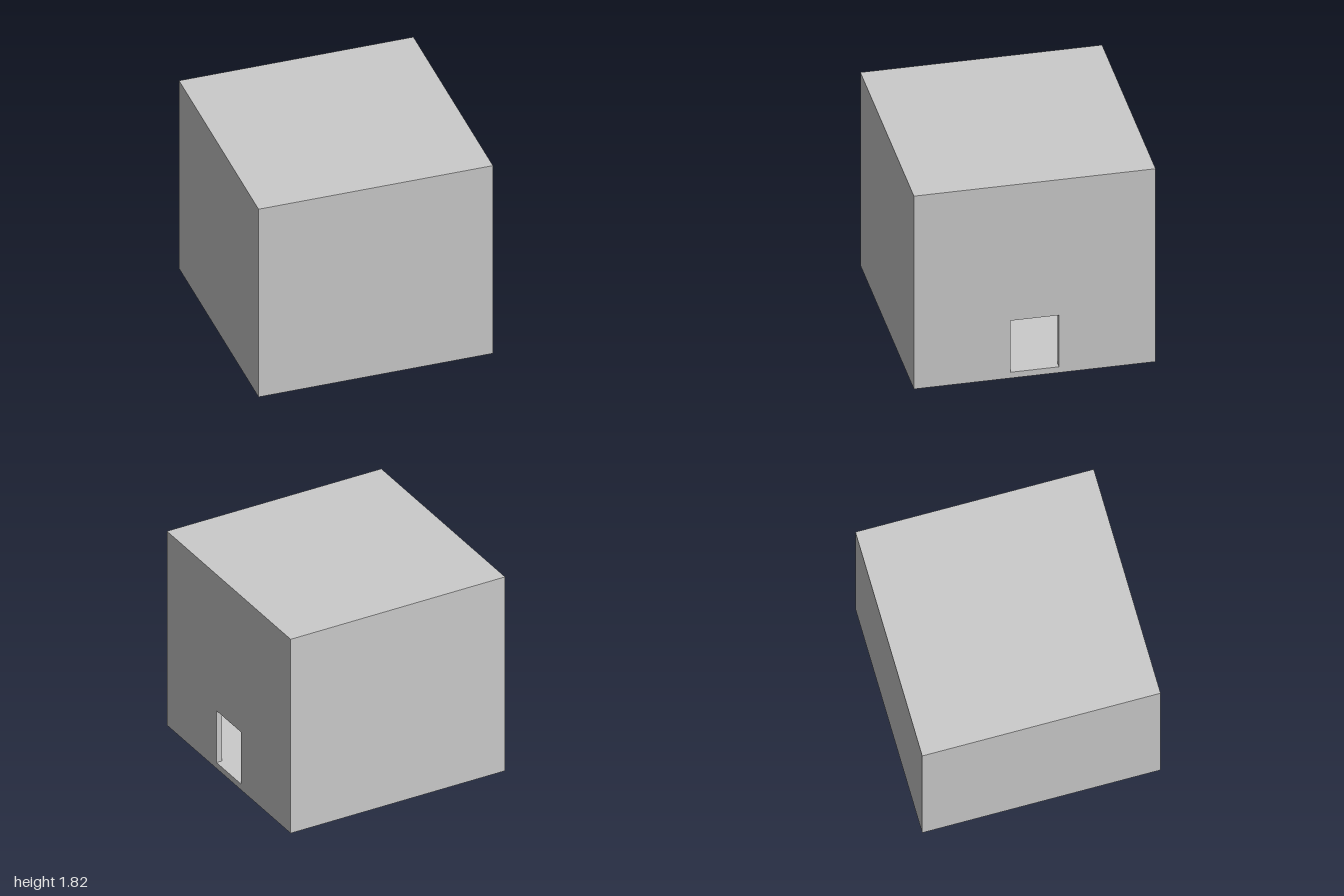
import * as THREE from 'three';

const H = 1.815, WALL = 0.05, FLOOR = 0.055, CEILING = 0.89;
const DOOR = { half: 0.2, bottom: FLOOR, top: 0.54 };

export function createModel() {
  const group = new THREE.Group();
  const outside = new THREE.MeshStandardMaterial({ color: 0xcccccc });
  const inside = new THREE.MeshStandardMaterial({ color: 0xcccccc, side: THREE.BackSide });

  const add = (name, geometry, material = outside) => {
    const mesh = new THREE.Mesh(geometry, material);
    mesh.name = name;
    group.add(mesh);
    return mesh;
  };

  // Box given by its limits; skip leaves out the first faces (order +x, -x, +y, -y, +z, -z)
  const box = ([x0, x1], [y0, y1], [z0, z1], skip = 0) => {
    const g = new THREE.BoxGeometry(x1 - x0, y1 - y0, z1 - z0);
    g.translate((x0 + x1) / 2, (y0 + y1) / 2, (z0 + z1) / 2);
    if (skip) {
      g.setIndex(Array.from(g.index.array).slice(skip * 6));
      g.clearGroups();
    }
    return g;
  };

  // Flat wall facing +x with the doorway cut out
  const doorWall = (x, halfWidth, bottom, top) => {
    const rect = (Type, w, y0, y1) => new Type([
      new THREE.Vector2(-w, y0), new THREE.Vector2(w, y0),
      new THREE.Vector2(w, y1), new THREE.Vector2(-w, y1),
    ]);
    const shape = rect(THREE.Shape, halfWidth, bottom, top);
    shape.holes.push(rect(THREE.Path, DOOR.half, DOOR.bottom, DOOR.top));
    return new THREE.ShapeGeometry(shape).rotateY(Math.PI / 2).translate(x, 0, 0);
  };

  // Building shell: closed on every side except the doorway
  const inner = 1 - WALL;
  add('outerShell', box([-1, 1], [0, H], [-1, 1], 1));
  add('outerDoorWall', doorWall(1, 1, 0, H));

  // Hollow room behind the doorway
  add('room', box([-inner, inner], [FLOOR, CEILING], [-inner, inner], 1), inside);
  add('innerDoorWall', doorWall(inner, inner, FLOOR, CEILING), inside);

  // Jambs, lintel and threshold through the wall thickness
  add('doorReveal', box([inner, 1], [DOOR.bottom, DOOR.top], [-DOOR.half, DOOR.half], 2), inside);

  // Skirting along the far wall
  add('skirting', box([-inner, -inner + 0.015], [FLOOR, 0.09], [-inner, inner]));

  // Counter facing the doorway, its top slightly overhanging
  add('counterBody', box([-0.6, -0.3], [FLOOR, 0.35], [-0.6, 0.145]));
  add('counterTop', box([-0.61, -0.29], [0.35, 0.385], [-0.61, 0.155]));

  return group;
}
